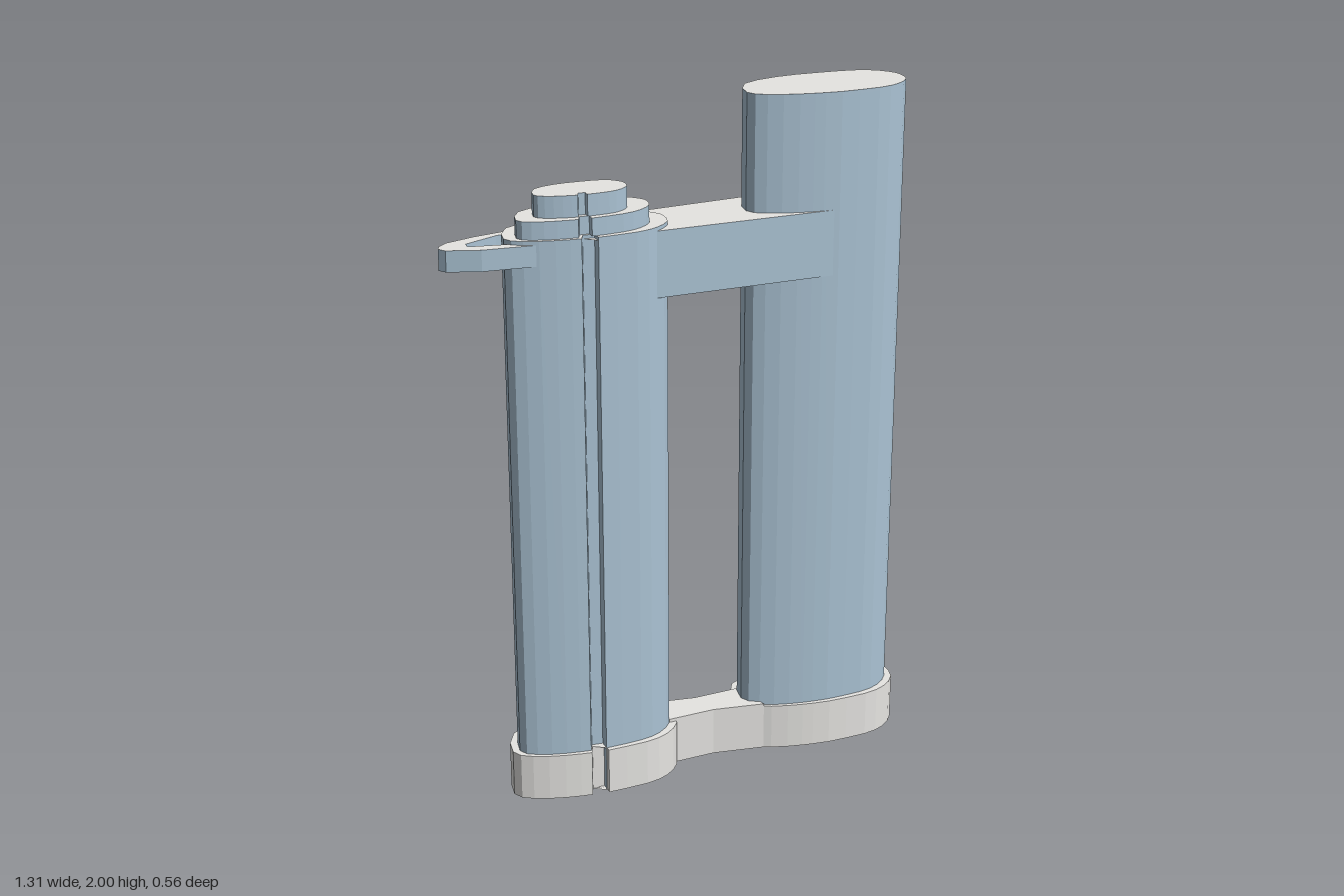
import * as THREE from 'three';

// Smooth oval cross-section, as [x, z] around its own centre; it starts and ends at the front slot
const OVAL = new THREE.SplineCurve([[-0.08, 0.086], [-0.142, 0.049], [-0.21, -0.007], [-0.234, -0.063],
  [-0.167, -0.141], [-0.047, -0.138], [0.077, -0.093], [0.19, -0.033], [0.228, 0.032], [0.228, 0.074],
  [0.2, 0.123], [0.14, 0.148], [0.07, 0.144], [-0.038, 0.107]].map(([x, z]) => new THREE.Vector2(x, z)))
  .getPoints(26).map((p) => [p.x, p.y]);

// The same oval with the slot cut inward
const inward = (p) => p.map((v) => v * 0.72);
const SLOTTED = [...OVAL, inward(OVAL[OVAL.length - 1]), inward(OVAL[0])];

const TALL = [0.41, 0.113];
const SHORT = [-0.267, -0.116];

function place(points, [cx, cz], sx = 1, sz = sx) {
  return points.map(([x, z]) => [cx + x * sx, cz + z * sz]);
}

// Short tube outline at a given share of its size
const shortOutline = (s) => place(SLOTTED, SHORT, 0.98 * s, 0.94 * s);

export function createModel() {
  const blue = new THREE.MeshStandardMaterial({ color: 0xabc3d4, side: THREE.DoubleSide });
  blue.name = 'paleBlue';
  const grey = new THREE.MeshStandardMaterial({ color: 0xe6e5e2, side: THREE.DoubleSide });
  grey.name = 'lightGrey';

  const model = new THREE.Group();
  model.name = 'twinTubeAssembly';

  // Upright prism from a plan outline, optionally with a hole
  function prism(name, outline, y0, y1, side, hole) {
    const toVectors = (pts) => pts.map(([x, z]) => new THREE.Vector2(x, -z));
    const shape = new THREE.Shape(toVectors(outline));
    if (hole) shape.holes.push(new THREE.Path(toVectors(hole).reverse()));
    const geometry = new THREE.ExtrudeGeometry(shape, { depth: y1 - y0, bevelEnabled: false });
    geometry.rotateX(-Math.PI / 2);
    geometry.translate(0, y0, 0);
    const mesh = new THREE.Mesh(geometry, [grey, side]);
    mesh.name = name;
    model.add(mesh);
  }

  // Tall tube, open below and closed at the top
  prism('tallTube', place(OVAL, TALL), 0.003, 1.99, blue, place(OVAL, TALL, 0.97));
  prism('tallTubeLid', place(OVAL, TALL), 1.99, 2, blue);

  // Short slotted tube with an inner sleeve
  prism('shortTube', shortOutline(1), 0.003, 1.67, blue, shortOutline(0.97));
  prism('shortTubeLid', shortOutline(1), 1.67, 1.68, blue);
  prism('innerSleeve', shortOutline(0.71), 0.003, 1.67, grey, shortOutline(0.66));

  // Stepped cap on the short tube
  prism('lowerCapStep', place(SLOTTED, [-0.28, -0.11], 0.81, 0.72), 1.68, 1.73, blue);
  prism('upperCapStep', place(SLOTTED, [-0.287, -0.112], 0.55), 1.73, 1.79, blue);

  // Base collars
  prism('tallCollar', place(OVAL, TALL, 1.07, 1.13), 0, 0.14, grey, place(OVAL, TALL));
  prism('shortCollar', place(SLOTTED, SHORT, 1.06, 1.07), 0, 0.14, grey, shortOutline(1));

  // Hollow waisted link between the collars
  const link = [[-0.136, -0.062], [-0.005, -0.018], [0.129, 0.124], [0.141, 0], [0.005, -0.046], [-0.129, -0.124]];
  link[0] = [-0.141, 0];
  link[1] = [-0.005, 0.046];
  const linkCentre = [0.071, 0];
  prism('baseLinkWalls', place(link, linkCentre), 0.002, 0.14, grey, place(link, linkCentre, 0.9));
  prism('baseLinkTop', place(link, linkCentre), 0.14, 0.15, grey);

  // Upper bridge joining the tubes
  prism('bridge', [[-0.155, 0.014], [0.358, 0.213], [0.362, -0.024], [-0.166, -0.19]], 1.48, 1.669, blue);

  // Side loop
  prism('sideLoop',
    [[-0.367, -0.245], [-0.52, -0.273], [-0.607, -0.279], [-0.64, -0.267], [-0.656, -0.25], [-0.65, -0.226],
      [-0.578, -0.166], [-0.437, -0.095], [-0.36, -0.07]],
    1.61, 1.669, blue,
    [[-0.586, -0.215], [-0.575, -0.236], [-0.47, -0.24], [-0.41, -0.23], [-0.42, -0.12], [-0.49, -0.155]]);

  return model;
}
